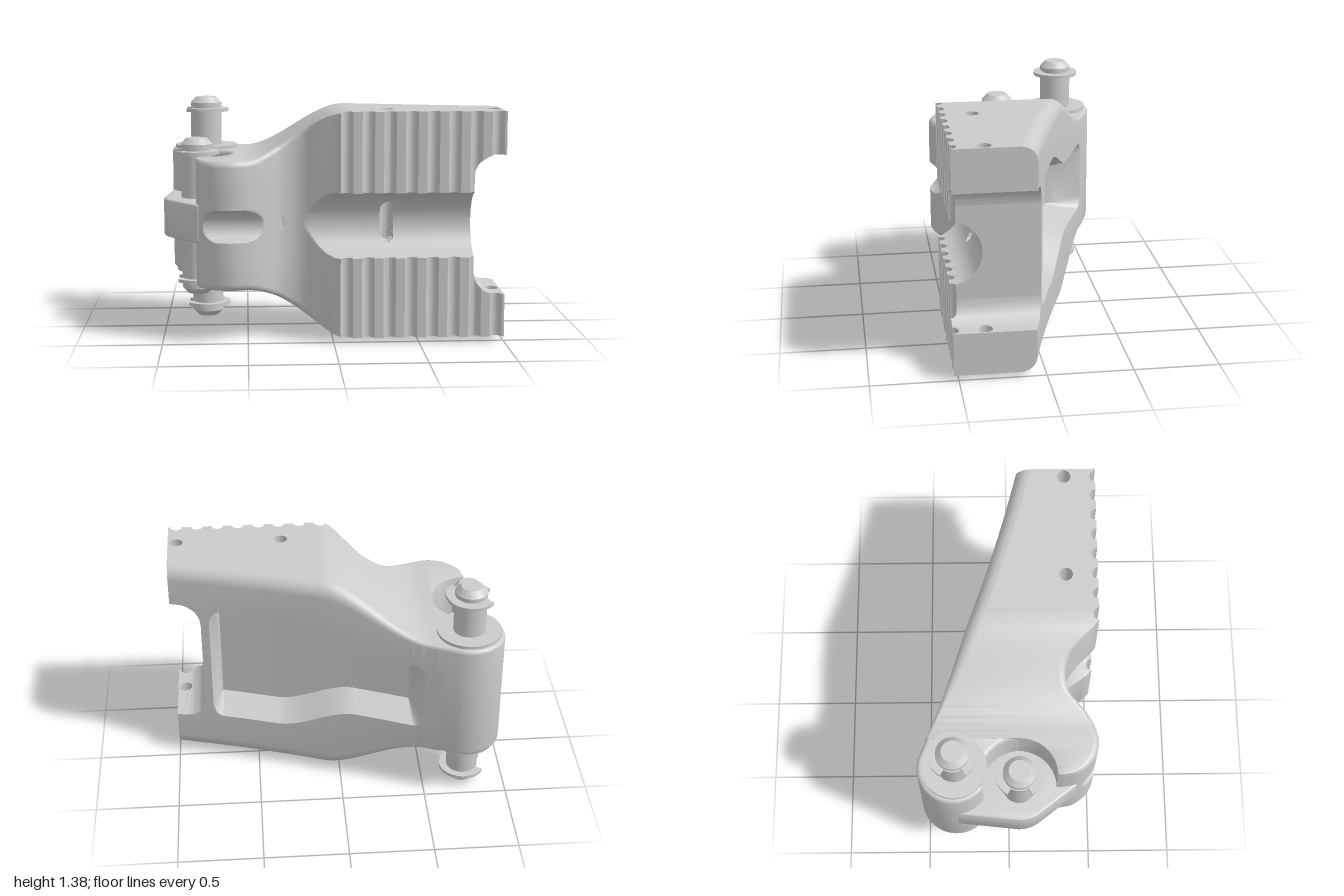
import * as THREE from 'three';
import { toCreasedNormals } from 'three/addons/utils/BufferGeometryUtils.js';

const MID = 0.6925;                       // height of the symmetry plane
const END = 0.82;                         // start of the two end blocks
const STEP = -0.58;                       // where the front roll meets the rear boss
const mat = new THREE.MeshStandardMaterial({ color: 0xcccccc, side: THREE.DoubleSide });
const smooth = THREE.MathUtils.smoothstep;
const V2 = (x, z) => new THREE.Vector2(x, -z);   // plan point (x, z)
const circ = (r, d) => Math.sqrt(Math.max(0, r * r - d * d));

// Outline rules along x
const half = x => 0.38 + 0.2825 * smooth(x, -0.52, 0.1);
const back = x => -0.25 + 0.365 * x - 0.06 * x * x;
const inner = x => 0.28 + circ(0.13, Math.min(0, x - 0.95));

// Front outline: roll, valley, then a flat with round grooves
function frontLine() {
  const pts = [[-0.8, 0.32], [-0.785, 0.395], [-0.74, 0.46], [-0.68, 0.503], [-0.6, 0.522], [-0.52, 0.507],
    [-0.44, 0.465], [-0.375, 0.41], [-0.31, 0.352], [-0.22, 0.33], [-0.14, 0.35], [-0.075, 0.405], [0, 0.49], [0.035, 0.522]];
  const line = new THREE.SplineCurve(pts.map(p => new THREE.Vector2(...p))).getPoints(78).map(p => [p.x, p.y]);
  for (let k = 0; k < 8; k++)
    for (let i = 0; i <= 8; i++) {
      const a = Math.PI * i / 8, c = 0.075 + 0.125 * k;
      line.push([c - 0.036 * Math.cos(a), 0.526 - 0.036 * Math.sin(a)]);
    }
  line.push([1, 0.526]);
  return line;
}
const LINE = frontLine();
function frontAt(x) {
  const i = Math.max(1, LINE.findIndex(p => p[0] >= x - 1e-6));
  const [a, b] = [LINE[i - 1], LINE[i]];
  return a[1] + (b[1] - a[1]) * (x - a[0]) / (b[0] - a[0]);
}

// Front surface with the long channel, the roll slot and the cross hole
function frontZ(x, y) {
  let z = frontAt(x);
  const r = x < -0.3 ? 0.095 : 0.19;
  if (y < r) z = Math.min(z, 0.53 - circ(r, y));
  const s = circ(0.04, x - 0.32);
  if (s > 0 && y < 0.19 && z < 0.34 + s) z = Math.min(z, 0.34 - s);
  return z;
}

// Upper half of a cross-section, as [y, z] from the front over the top to the back
const NF = 27, NA = 6;
function section(x, y0, cut) {
  const h = half(x), out = [];
  const rf = 0.04 * (1 - smooth(x, -0.2, 0));
  const b = cut ? 0.06 + circ(0.22, x + 0.8) : back(x);
  const rb = cut ? 0.002 : 0.02 + 0.07 * smooth(x, -0.55, 0);
  for (let i = 0; i < NF - 1; i++) {
    const y = Math.max(y0, 0.19 * i / (NF - 3));
    out.push([y, frontZ(x, y)]);
  }
  out.push([h - rf, frontAt(x)]);
  const arc = (r, z, s, from) => {
    for (let i = 0; i <= NA; i++) {
      const a = Math.PI / 2 * Math.abs(from - i / NA);
      out.push([h - r + r * Math.sin(a), z + s * r * Math.cos(a)]);
    }
  };
  arc(rf, frontAt(x) - rf, 1, 0);
  arc(rb, b + rb, -1, 1);
  // rear pocket with tapered walls
  const e = cut ? -1 : Math.min(x + 0.48, 0.77 - x);
  const d = 0.21 * THREE.MathUtils.clamp(e / 0.06, 0, 1);
  const p = 0.22 + 0.165 * smooth(x, -0.1, 0.38) - 0.05 * Math.max(0, 1 - Math.max(e, 0) / 0.06) ** 2;
  out.push([Math.max(y0, p), b], [Math.max(y0, p - 0.02), b + d * 0.5], [Math.max(y0, p - 0.05), b + d], [y0, b + d]);
  return out;
}

// Skin between sections; the flat top is left out for the drilled cover
function loft(stations, closed) {
  const pos = [], secs = stations.map(s => section(s.x, closed ? inner(s.x) : 0, s.cut));
  const put = (i, j) => pos.push(stations[i].x, secs[i][j][0], secs[i][j][1]);
  const n = secs[0].length;
  for (let i = 0; i + 1 < secs.length; i++)
    for (let j = 0; j < (closed ? n : n - 1); j++) {
      const k = (j + 1) % n, x = stations[i].x;
      if (j === NF + NA && x >= 0.11) continue;
      if (k === 0 && x >= 0.9 - 1e-6) continue;
      put(i, j); put(i + 1, j); put(i + 1, k);
      put(i, j); put(i + 1, k); put(i, k);
    }
  for (const i of [0, secs.length - 1]) {
    if (closed && i === 0) continue;
    const tris = THREE.ShapeUtils.triangulateShape(secs[i].map(p => new THREE.Vector2(...p)), []);
    for (const t of tris) (i ? t : [t[0], t[2], t[1]]).forEach(j => put(i, j));
  }
  const g = new THREE.BufferGeometry();
  g.setAttribute('position', new THREE.Float32BufferAttribute(pos, 3));
  return toCreasedNormals(g, 0.55);
}

// Flat drilled face spanning the given stations
function drilledFace(xs, backZ, height, holes) {
  const shape = new THREE.Shape([...xs.map(x => V2(x, frontAt(x))), ...[...xs].reverse().map(x => V2(x, backZ(x)))]);
  for (const x of holes) shape.holes.push(new THREE.Path().absarc(x, -0.34, 0.04, 0, Math.PI * 2));
  const g = new THREE.ShapeGeometry(shape, 16).rotateX(-Math.PI / 2);
  const p = g.attributes.position;
  for (let i = 0; i < p.count; i++) p.setY(i, height(p.getX(i)));
  g.computeVertexNormals();
  return g;
}

const arcPts = (cx, cz, r, a0, a1, n = 24) => Array.from({ length: n + 1 }, (_, i) => {
  const a = THREE.MathUtils.degToRad(a0 + (a1 - a0) * i / n);
  return V2(cx + r * Math.cos(a), cz + r * Math.sin(a));
});

// Plan outline raised symmetrically about the mid plane, with rounded rims
function slab(pts, h, bevel) {
  const g = new THREE.ExtrudeGeometry(new THREE.Shape(pts), {
    depth: 2 * (h - bevel), bevelSize: bevel, bevelThickness: bevel, bevelOffset: -bevel, bevelSegments: 4, curveSegments: 24 });
  return toCreasedNormals(g.translate(0, 0, bevel - h).rotateX(-Math.PI / 2), 0.6);
}

function add(parent, name, geo) {
  const m = new THREE.Mesh(geo, mat);
  m.name = name;
  parent.add(m);
  return m;
}

// Pin with chamfered heads and a split retaining clip at each end
function pin(name, x, z, len, clipY, washer) {
  const g = new THREE.Group();
  g.name = name;
  g.position.set(x, 0, z);
  const upper = [[0.095, clipY], [0.08, clipY], [0.08, clipY + 0.03], [0.095, clipY + 0.03], [0.095, len - 0.035], [0.062, len], [0, len]];
  const prof = [...[...upper].reverse().map(([r, y]) => [r, -y]), ...upper].map(p => new THREE.Vector2(...p));
  add(g, 'pinShaft', toCreasedNormals(new THREE.LatheGeometry(prof, 40), 0.5));
  const c = new THREE.Shape();
  c.absarc(0, 0, 0.138, -2.6, 2.6, false);
  c.absarc(0, 0, 0.082, 2.6, -2.6, true);
  const clip = new THREE.ExtrudeGeometry(c, { depth: 0.02, bevelEnabled: false, curveSegments: 32 }).rotateX(-Math.PI / 2);
  for (const s of [1, -1]) {
    add(g, 'retainingClip', clip).position.y = s > 0 ? clipY : -clipY - 0.02;
    if (washer) add(g, 'washer', new THREE.CylinderGeometry(0.19, 0.19, 0.022, 48)).position.y = s * 0.387;
  }
  return g;
}

export function createModel() {
  const root = new THREE.Group();
  root.name = 'clampJaw';
  root.position.y = MID;

  // Stations along x
  const extra = [STEP, -0.5, -0.48, -0.465, -0.45, -0.42, 0.28, 0.2805, 0.29, 0.3, 0.31, 0.32, 0.33, 0.34, 0.35, 0.3595, 0.36,
    0.71, 0.725, 0.74, 0.755, 0.77, END, 0.84, 0.87, 0.9, 0.93];
  const xs = [...new Set([...LINE.map(p => p[0]), ...extra])].sort((a, b) => a - b).filter((x, i, a) => !i || x - a[i - 1] > 1e-4);
  const main = [...xs.filter(x => x <= STEP).map(x => ({ x, cut: true })),
    ...xs.filter(x => x >= STEP && x <= END).map(x => ({ x }))];
  const ends = xs.filter(x => x >= END).map(x => ({ x }));
  const rim = x => back(x) + 0.02 + 0.07 * smooth(x, -0.55, 0);

  // Upper half and its mirror image
  const parts = [
    ['jawBody', loft(main, false)],
    ['endBlock', loft(ends, true)],
    ['drilledTop', drilledFace(xs.filter(x => x >= 0.11), rim, half, [0.32, 0.95])],
    ['drilledInnerFace', drilledFace(xs.filter(x => x >= 0.9 - 1e-6), back, inner, [0.95])],
    ['crossHole', new THREE.CylinderGeometry(0.04, 0.04, 0.546, 32, 1, true).translate(0.32, 0.3895, 0.34)],
    ['endHole', new THREE.CylinderGeometry(0.04, 0.04, 0.255, 32, 1, true).translate(0.95, 0.535, 0.34)],
  ];
  for (const [name, geo] of parts)
    for (const s of [1, -1]) add(root, name, geo).scale.y = s;

  // Rear pin boss, hollowed around the second pin
  add(root, 'pinBoss', slab([V2(-0.52, back(-0.52) + 0.003), ...arcPts(-0.75, -0.32, 0.21, -65, -234.6),
    ...arcPts(-0.8, 0.06, 0.22, -108, 0), V2(-0.52, 0.06)], 0.379, 0.025));

  // Middle lug carrying the second pin
  add(root, 'middleLug', slab([V2(-0.55, -0.2), V2(-0.75, -0.32), V2(-0.957, -0.32), ...arcPts(-0.8, 0.06, 0.2, 183, 142),
    V2(-0.79, 0.4), V2(-0.55, 0.4)], 0.115, 0.015));

  root.add(pin('longPin', -0.75, -0.315, MID, 0.603, true));
  root.add(pin('shortPin', -0.8, 0.06, 0.4725, 0.377, false));

  const model = new THREE.Group();
  model.add(root);
  return model;
}
